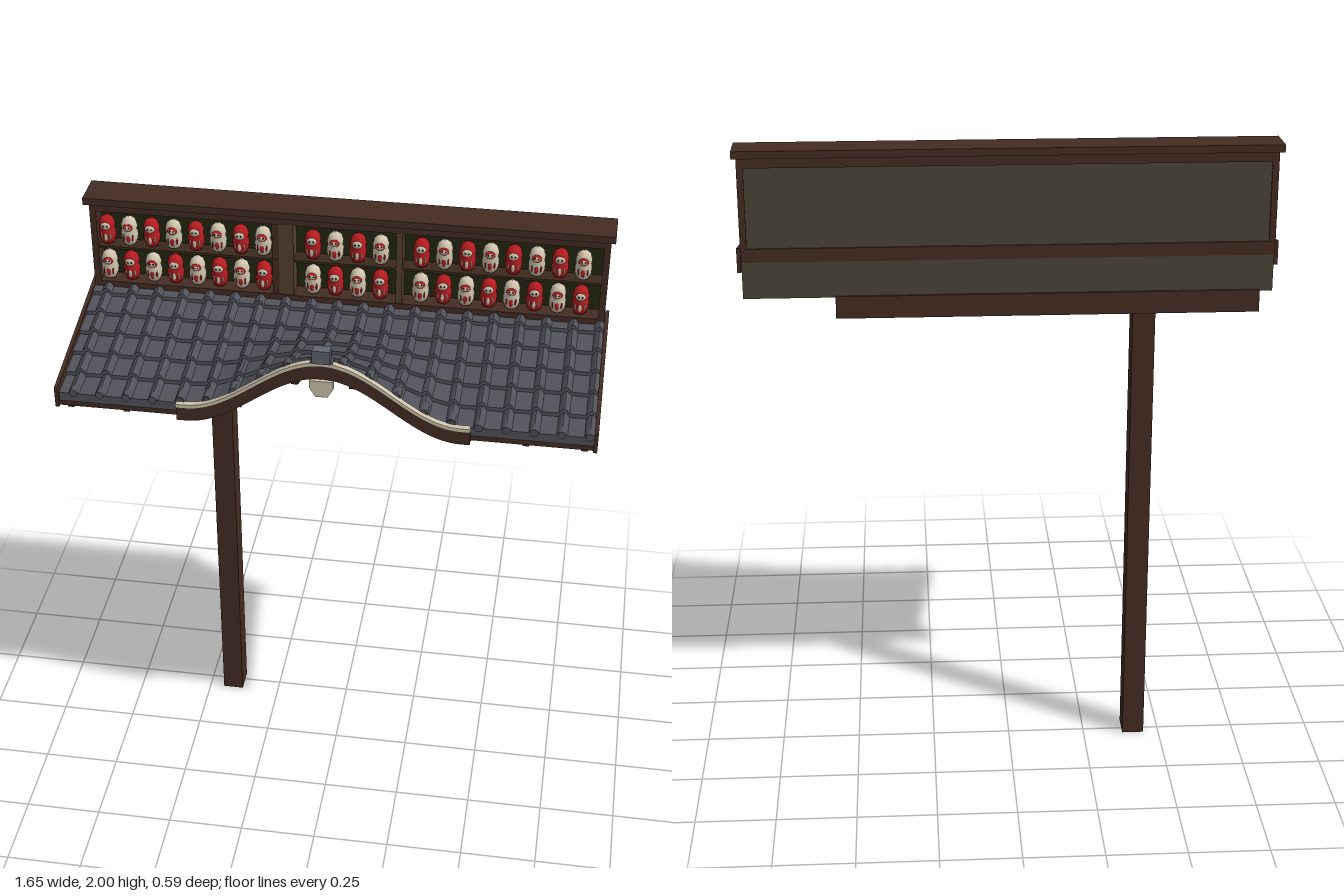
import * as THREE from 'three';
import { toCreasedNormals } from 'three/addons/utils/BufferGeometryUtils.js';

const mat = (name, color, side = THREE.FrontSide) => {
  const m = new THREE.MeshStandardMaterial({ color, side });
  m.name = name;
  return m;
};

// Roof plane plus the bell-shaped gable that fades out towards the back
const roofY = (x, z) => {
  const bell = Math.abs(x) < 0.42 ? 0.5 + 0.5 * Math.cos(Math.PI * x / 0.42) : 0;
  const fade = Math.max(0, (z + 0.1) / 0.38) ** 1.4;
  return 1.562 + (0.28 - z) * 0.225 + 0.19 * bell * fade;
};

// Open surface from a grid of points: point(i, j) -> [x, y, z]
function gridSurface(nu, nv, point) {
  const pos = [], idx = [];
  for (let j = 0; j <= nv; j++) for (let i = 0; i <= nu; i++) pos.push(...point(i, j));
  for (let j = 0; j < nv; j++) for (let i = 0; i < nu; i++) {
    const a = j * (nu + 1) + i, b = a + 1, c = a + nu + 1, d = c + 1;
    idx.push(a, b, d, a, d, c);
  }
  const g = new THREE.BufferGeometry();
  g.setAttribute('position', new THREE.Float32BufferAttribute(pos, 3));
  g.setIndex(idx);
  g.computeVertexNormals();
  return toCreasedNormals(g, 0.5);
}

// Board that follows the roof's front edge
function edgeBoard(x0, x1, z0, z1, top, bottom) {
  const n = 60, up = [], low = [];
  for (let i = 0; i <= n; i++) {
    const x = x0 + (x1 - x0) * i / n, y = roofY(x, 0.28);
    up.push(new THREE.Vector2(x, y + top));
    low.unshift(new THREE.Vector2(x, y + bottom));
  }
  const g = new THREE.ExtrudeGeometry(new THREE.Shape([...up, ...low]), { depth: z1 - z0, bevelEnabled: false });
  return g.translate(0, 0, z0);
}

export function createModel() {
  const wood = mat('brown wood', 0x452c22);
  const darkWood = mat('dark wood', 0x3a2a1c, THREE.DoubleSide);
  const plankWood = mat('light plank wood', 0x54402f);
  const tile = mat('slate tile', 0x52525c, THREE.DoubleSide);
  const ridgeGrey = mat('ridge grey', 0x626470);
  const plaster = mat('olive plaster', 0x4c4538);
  const recess = mat('dark green backing', 0x23270f);
  const cream = mat('cream', 0xd0c5ae);
  const red = mat('doll red', 0xb81c20);
  const ink = mat('ink', 0x1c1614);

  const model = new THREE.Group();
  model.name = 'roofedSign';
  const add = (name, geo, material, parent = model) => {
    const m = new THREE.Mesh(geo, material);
    m.name = name;
    parent.add(m);
    return m;
  };
  // Box given by its extents
  const box = (name, material, x0, x1, y0, y1, z0, z1) =>
    add(name, new THREE.BoxGeometry(x1 - x0, y1 - y0, z1 - z0), material)
      .position.set((x0 + x1) / 2, (y0 + y1) / 2, (z0 + z1) / 2);

  // Post, cross beam and hanging rail
  box('post', wood, -0.45, -0.38, 0, 1.475, -0.28, -0.2);
  box('crossBeam', wood, -0.77, 0.53, 1.475, 1.545, -0.285, -0.2);
  const rod = new THREE.CylinderGeometry(0.006, 0.006, 0.33, 8).rotateZ(Math.PI / 2);
  add('hangingRail', rod, darkWood).position.set(-0.515, 1.486, -0.11);
  for (const x of [-0.66, -0.37]) box('railBracket', darkWood, x - 0.005, x + 0.005, 1.481, 1.491, -0.2, -0.11);

  // Lower wall: wood inside, plaster on the back
  box('lowerWall', darkWood, -0.81, 0.81, 1.545, 1.67, -0.27, -0.262);
  box('lowerWallPlaster', plaster, -0.81, 0.81, 1.54, 1.67, -0.276, -0.27);

  // Display case
  box('caseCap', wood, -0.825, 0.825, 1.977, 2, -0.297, -0.177);
  box('caseTop', wood, -0.81, 0.81, 1.945, 1.978, -0.28, -0.2);
  box('caseSill', wood, -0.81, 0.81, 1.655, 1.697, -0.28, -0.2);
  for (const s of [-1, 1]) {
    add('caseSide', new THREE.BoxGeometry(0.02, 0.3, 0.08), wood).position.set(s * 0.802, 1.825, -0.24);
  }
  box('caseBacking', recess, -0.8, 0.8, 1.69, 1.95, -0.266, -0.26);
  box('caseRearPanel', plaster, -0.8, 0.8, 1.69, 1.95, -0.274, -0.267);
  box('caseShelf', darkWood, -0.795, 0.795, 1.813, 1.821, -0.26, -0.205);
  box('caseDivider', plankWood, -0.212, -0.166, 1.695, 1.946, -0.26, -0.203);
  box('caseDivider', wood, -0.234, -0.212, 1.695, 1.946, -0.26, -0.206);
  box('caseDivider', plankWood, 0.157, 0.177, 1.695, 1.946, -0.26, -0.203);

  // Rows of round dolls, alternating red and cream
  const profile = [[0, 0], [0.019, 0.002], [0.026, 0.02], [0.027, 0.04], [0.024, 0.052],
    [0.026, 0.066], [0.021, 0.084], [0.01, 0.093], [0, 0.095]].map(p => new THREE.Vector2(...p));
  const bodyGeo = new THREE.LatheGeometry(profile, 14);
  const ball = new THREE.SphereGeometry(1, 10, 6);
  const blob = (name, m, g, x, y, z, sx, sy, sz) => {
    const b = add(name, ball, m, g);
    b.position.set(x, y, z);
    b.scale.set(sx, sy, sz);
  };
  const doll = (x, y, main, accent) => {
    const g = new THREE.Group();
    g.name = 'doll';
    g.position.set(x, y, -0.232);
    add('dollBody', bodyGeo, main, g);
    blob('dollFace', main === red ? cream : accent, g, 0, 0.066, 0.022, 0.016, 0.013, 0.006);
    if (main === cream) blob('dollFaceCentre', cream, g, 0, 0.065, 0.024, 0.012, 0.009, 0.006);
    blob('dollBelly', accent, g, 0, 0.028, 0.025, 0.006, 0.014, 0.004);
    for (const s of [-1, 1]) {
      blob('dollEye', ink, g, s * 0.006, 0.068, 0.029, 0.0025, 0.003, 0.002);
      blob('dollTrim', accent, g, s * 0.014, 0.03, 0.021, 0.003, 0.012, 0.004);
    }
    model.add(g);
  };
  [[-0.767, 8], [-0.109, 4], [0.233, 8]].forEach(([start, count]) => {
    for (let row = 0; row < 2; row++) for (let i = 0; i < count; i++) {
      const isRed = (i + row) % 2 === 0;
      doll(start + i * 0.0715, row ? 1.699 : 1.823, isRed ? red : cream, isRed ? cream : red);
    }
  });

  // Tiled roof: rolled columns and stepped rows
  const cols = 20, per = 10, pitch = 0.0825, rows = 6, z0 = 0.275, rowDepth = 0.088;
  const roll = i => {
    const u = (i % per) / per;
    return u >= 0.5 && u <= 0.9 ? 0.016 * Math.sin(Math.PI * (u - 0.5) / 0.4) : 0;
  };
  add('roofTiles', gridSurface(cols * per, rows * 2, (i, j) => {
    const x = -0.825 + i * pitch / per;
    const z = z0 - Math.floor(j / 2) * rowDepth;
    const lift = j === 0 ? -0.012 : j % 2 ? 0.013 : 0;
    return [x, roofY(x, z) + roll(i) + lift, z];
  }), tile);

  // Round end caps on the tile rolls
  const cap = new THREE.CylinderGeometry(0.013, 0.013, 0.045, 10).rotateX(Math.PI / 2);
  for (let k = 0; k < cols; k++) {
    const x = -0.825 + (k + 0.7) * pitch, z = Math.abs(x) < 0.44 ? 0.25 : 0.26;
    if (Math.abs(x) > 0.05) add('tileCap', cap, tile).position.set(x, roofY(x, z) + 0.014, z);
  }

  // Underside boards and rafters that follow the roof
  add('roofUnderside', gridSurface(80, 14, (i, j) => {
    const x = -0.815 + i * 1.63 / 80, z = 0.27 - j * 0.53 / 14;
    return [x, roofY(x, z) - 0.018, z];
  }), darkWood);
  for (let k = 0; k < 10; k++) {
    const x = -0.7875 + k * 0.175, n = 12;
    const top = [], low = [];
    for (let i = 0; i <= n; i++) {
      const z = -0.26 + i * 0.51 / n, y = roofY(x, z);
      top.push(new THREE.Vector2(-z, y - 0.015));
      low.unshift(new THREE.Vector2(-z, y - 0.06));
    }
    const g = new THREE.ExtrudeGeometry(new THREE.Shape([...top, ...low]), { depth: 0.02, bevelEnabled: false });
    add('rafter', g.rotateY(Math.PI / 2).translate(x - 0.01, 0, 0), darkWood);
  }

  // Eave boards, sloping side boards
  add('eaveTileEdge', edgeBoard(-0.815, 0.815, 0.262, 0.274, 0.004, -0.016), tile);
  add('eaveBoard', edgeBoard(-0.815, 0.815, 0.255, 0.268, -0.014, -0.036), wood);
  for (const s of [-1, 1]) {
    const shape = new THREE.Shape([[-0.285, 1.53], [0.262, 1.618], [0.262, 1.695], [-0.285, 1.597]]
      .map(p => new THREE.Vector2(...p)));
    const g = new THREE.ExtrudeGeometry(shape, { depth: 0.012, bevelEnabled: false }).rotateY(Math.PI / 2);
    add('sideBoard', g, wood).position.x = s * 0.819 - 0.006;
  }

  // Curved gable: arch board, cream edge, pendant and ridge block
  add('archBoard', edgeBoard(-0.447, 0.447, 0.268, 0.286, 0.006, -0.042), wood);
  add('archTrim', edgeBoard(-0.447, 0.447, 0.272, 0.292, 0.018, 0.005), cream);
  const hex = new THREE.Shape([[-0.036, 1.705], [-0.036, 1.68], [-0.018, 1.65], [0.018, 1.65], [0.036, 1.68], [0.036, 1.705]]
    .map(p => new THREE.Vector2(...p)));
  add('gablePendant', new THREE.ExtrudeGeometry(hex, { depth: 0.016, bevelEnabled: false }), cream).position.z = 0.275;
  box('ridgeBlock', ridgeGrey, -0.027, 0.027, 1.768, 1.812, 0.262, 0.296);
  box('ridgeBlockBase', tile, -0.034, 0.034, 1.758, 1.77, 0.255, 0.29);

  return model;
}
